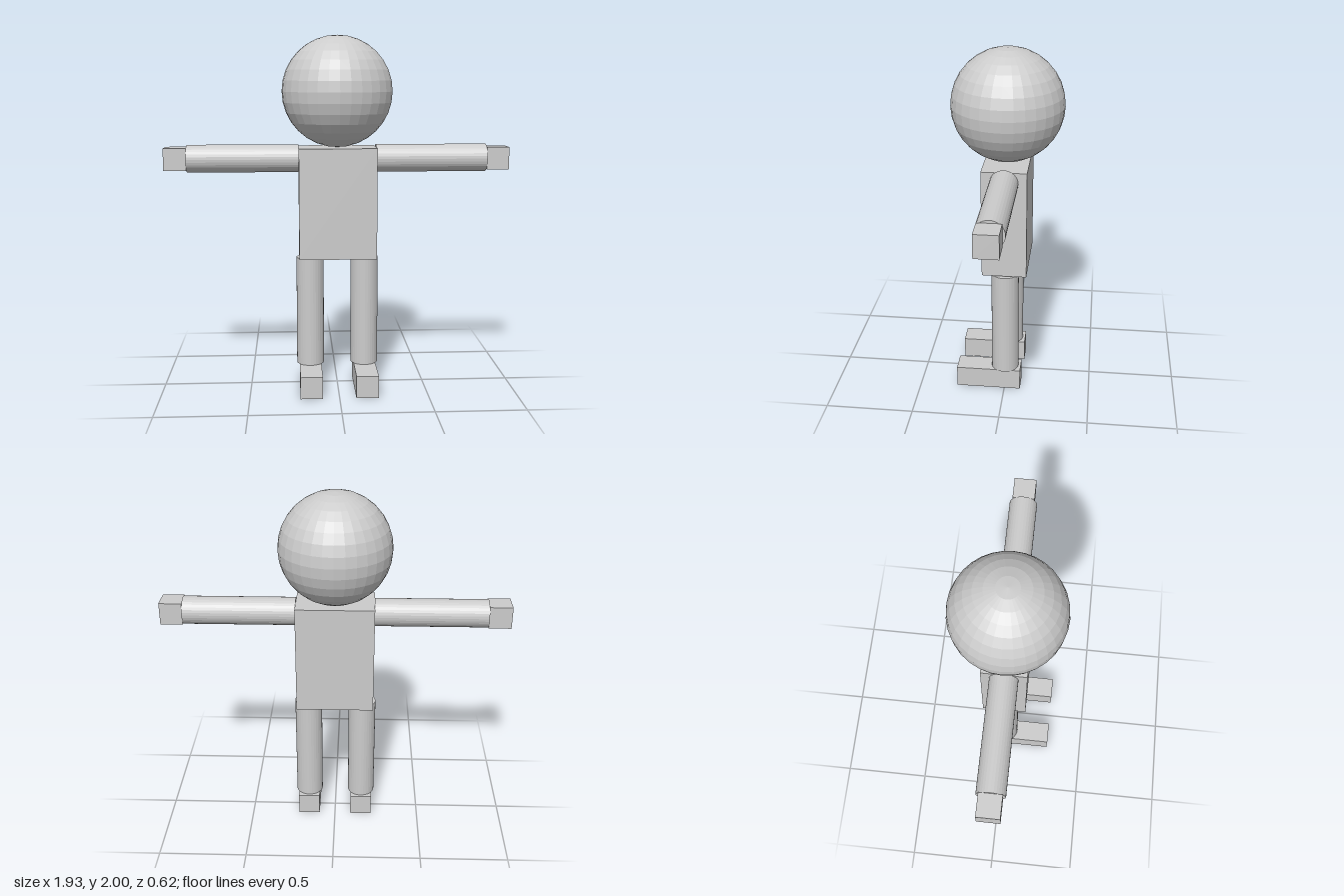
import * as THREE from 'three';

export function createModel() {
  const model = new THREE.Group();
  const material = new THREE.MeshStandardMaterial({ color: 0xcccccc, flatShading: true });

  function add(name, geometry, x, y, z) {
    const mesh = new THREE.Mesh(geometry, material);
    mesh.name = name;
    mesh.position.set(x, y, z);
    model.add(mesh);
    return mesh;
  }

  // Head and body
  add('head', new THREE.SphereGeometry(0.31, 32, 16), 0, 1.69, 0);
  add('torso', new THREE.BoxGeometry(0.436, 0.623, 0.25), 0, 1.068, 0);

  // Limbs, mirrored left and right
  const limb = new THREE.CylinderGeometry(0.078, 0.078, 0.625, 32);
  const hand = new THREE.BoxGeometry(0.125, 0.125, 0.125);
  const foot = new THREE.BoxGeometry(0.125, 0.125, 0.374);
  for (const [side, s] of [['left', 1], ['right', -1]]) {
    add(side + 'Arm', limb, s * 0.53, 1.317, 0).rotation.z = -s * Math.PI / 2;
    add(side + 'Hand', hand, s * 0.905, 1.317, 0);
    add(side + 'Leg', limb, s * 0.156, 0.4375, 0);
    add(side + 'Foot', foot, s * 0.156, 0.0625, 0.094);
  }
  return model;
}
